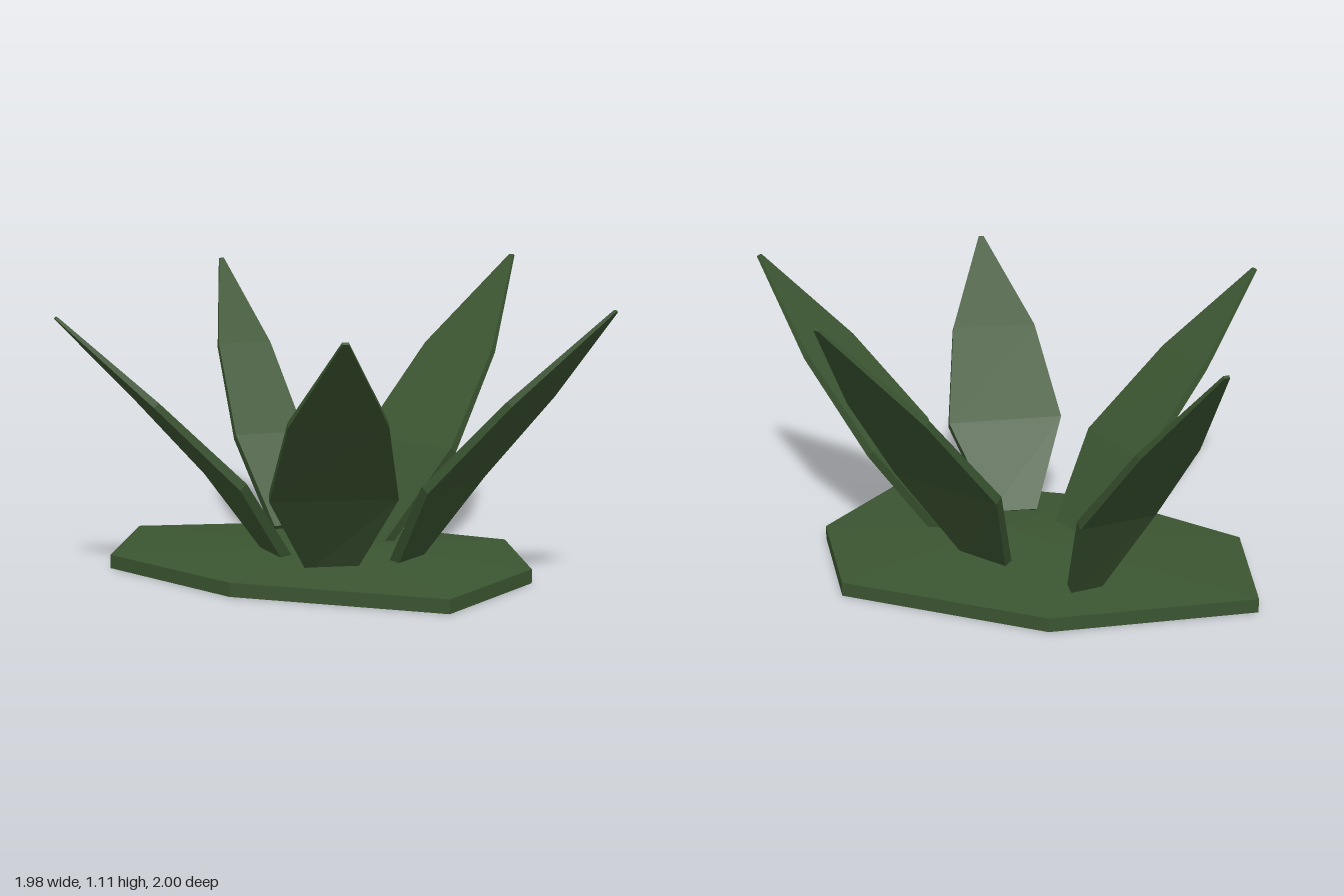
import * as THREE from 'three';

// Joins rings of points (counterclockwise seen from the end) and closes both ends with fans.
function loft(rings, start, end) {
  const out = [];
  const tri = (...pts) => pts.forEach((p) => out.push(p.x, p.y, p.z));
  const n = rings[0].length;
  for (let i = 0; i < n; i++) {
    const j = (i + 1) % n;
    tri(start, rings[0][j], rings[0][i]);
    for (let k = 0; k < rings.length - 1; k++) {
      const a = rings[k], b = rings[k + 1];
      tri(a[i], a[j], b[j]);
      tri(a[i], b[j], b[i]);
    }
    const last = rings[rings.length - 1];
    tri(last[i], last[j], end);
  }
  const geo = new THREE.BufferGeometry();
  geo.setAttribute('position', new THREE.Float32BufferAttribute(out, 3));
  geo.computeVertexNormals(); // unshared corners keep every facet flat
  return geo;
}

const centroid = (pts) =>
  pts.reduce((sum, p) => sum.add(p), new THREE.Vector3()).divideScalar(pts.length);

// Thin faceted blade: [leftX, leftZ, rightX, rightZ] for three rows, then the tip [x, y, z].
function leafGeometry(rows, tip) {
  const baseY = 0.08;
  const thickness = [0.04, 0.033, 0.024, 0.01];
  const edges = rows.map(([lx, lz, rx, rz], i) => {
    const y = baseY + ((tip[1] - baseY) * i) / 3;
    return [new THREE.Vector3(lx, y, lz), new THREE.Vector3(rx, y, rz)];
  });
  const tipPoint = new THREE.Vector3(...tip);
  const side = edges[1][1].clone().sub(edges[1][0]).normalize();
  edges.push([-0.01, 0.01].map((s) => tipPoint.clone().addScaledVector(side, s)));

  const axis = tipPoint.clone().sub(centroid(edges[0]));
  const normal = axis.cross(side).normalize();
  const rings = edges.map(([l, r], i) => {
    const under = (p) => p.clone().addScaledVector(normal, -thickness[i]);
    return [l, under(l), under(r), r];
  });
  return loft(rings, centroid(rings[0]), centroid(rings[3]));
}

export function createModel() {
  const group = new THREE.Group();
  group.name = 'plant';
  const leafGreen = new THREE.MeshStandardMaterial({ color: 0x3b5531 });
  leafGreen.name = 'dark leaf green';

  const add = (name, geometry) => {
    const mesh = new THREE.Mesh(geometry, leafGreen);
    mesh.name = name;
    group.add(mesh);
  };

  // Irregular seven-sided ground patch, rising gently to the middle
  const outline = [
    [-0.87, 0.22], [-0.29, 0.5], [0.49, 0.5], [0.65, -0.02],
    [0.44, -0.49], [-0.32, -0.61], [-0.99, -0.3],
  ];
  const ring = (y) => outline.map(([x, z]) => new THREE.Vector3(x, y, z));
  add('groundPatch', loft([ring(0), ring(0.05)],
    new THREE.Vector3(0, 0, 0), new THREE.Vector3(-0.02, 0.1, 0)));

  // Five leaning leaves around the centre
  const leaves = {
    frontLeaf: [[[-0.1, 0.25, 0.06, 0.19], [-0.14, 0.51, 0.26, 0.33], [0.02, 0.76, 0.32, 0.64]],
      [0.29, 0.94, 0.99]],
    leftLeaf: [[[0.17, 0.13, 0.21, -0.01], [0.34, 0.32, 0.44, -0.08], [0.64, 0.35, 0.72, 0.05]],
      [0.98, 1.0, 0.29]],
    backLeftLeaf: [[[0.06, -0.16, -0.11, -0.24], [0.28, -0.29, -0.13, -0.49], [0.36, -0.58, 0.05, -0.74]],
      [0.35, 1.11, -0.93]],
    backRightLeaf: [[[-0.34, -0.39, -0.43, -0.32], [-0.41, -0.61, -0.63, -0.43], [-0.63, -0.82, -0.8, -0.68]],
      [-0.91, 1.07, -0.99]],
    frontRightLeaf: [[[-0.3, 0.04, -0.19, 0.15], [-0.52, 0.1, -0.27, 0.38], [-0.7, 0.33, -0.52, 0.55]],
      [-0.84, 0.96, 0.66]],
  };
  for (const [name, [rows, tip]] of Object.entries(leaves)) add(name, leafGeometry(rows, tip));

  return group;
}
